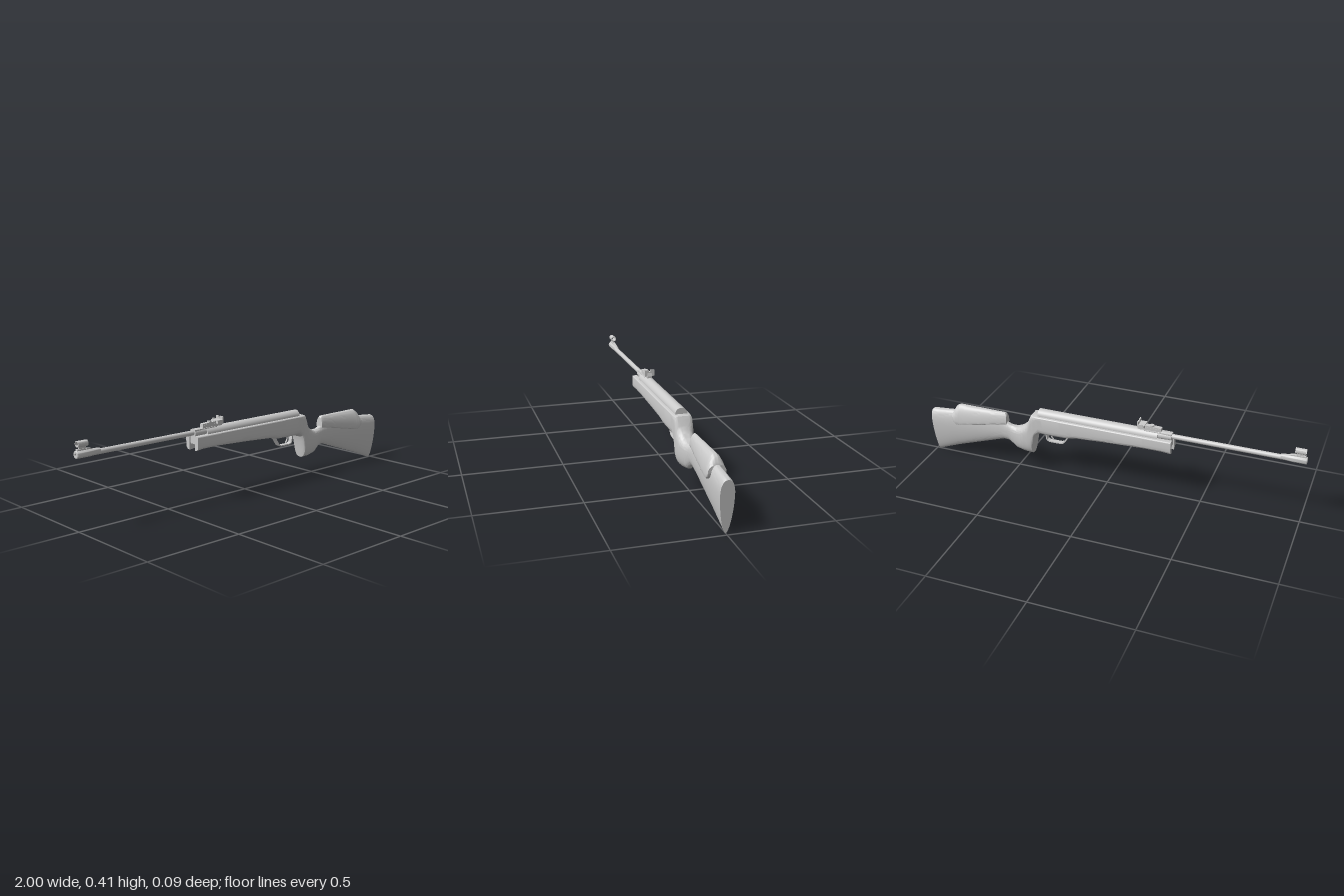
import * as THREE from 'three';
import { toCreasedNormals } from 'three/addons/utils/BufferGeometryUtils.js';

const mat = new THREE.MeshStandardMaterial({ color: 0xcccccc, side: THREE.DoubleSide });

function add(parent, name, geo, x = 0, y = 0, z = 0) {
  const m = new THREE.Mesh(geo, mat);
  m.name = name;
  m.position.set(x, y, z);
  parent.add(m);
  return m;
}
const box = (w, h, d) => new THREE.BoxGeometry(w, h, d);
const rod = (r0, r1, len, open = false) =>
  new THREE.CylinderGeometry(r1, r0, len, 32, 1, open).rotateZ(-Math.PI / 2);

// Linear lookup in a list of [x, value]
function at(table, x) {
  if (x <= table[0][0]) return table[0][1];
  for (let i = 1; i < table.length; i++) {
    const [x0, v0] = table[i - 1], [x1, v1] = table[i];
    if (x <= x1) return v0 + (v1 - v0) * (x - x0) / (x1 - x0);
  }
  return table[table.length - 1][1];
}

// Loft of superellipse sections along x; side = 1 or -1 keeps only one prong beyond z = gap
function loft(p, x0, x1, { side = 0, gap = 0, lean = () => 0 } = {}) {
  const xs = [x0, x1];
  for (const t of [p.top, p.bottom, p.width]) t.forEach(([x]) => x > x0 && x < x1 && xs.push(x));
  for (let x = x0 + 0.012; x < x1; x += 0.012) xs.push(x);
  const stations = xs.sort((a, b) => a - b).filter((x, i) => !i || x - xs[i - 1] > 1e-4);
  const N = 48, pos = [], idx = [];
  for (const x of stations) {
    const top = at(p.top, x), bot = at(p.bottom, x), mid = at(p.mid, x), w = at(p.width, x);
    let sy = 0, sz = 0;
    for (let j = 0; j < N; j++) {
      const a = j / N * Math.PI * 2, c = Math.cos(a), s = Math.sin(a);
      const e = 2 / at(s >= 0 ? p.squareTop : p.squareBottom, x);
      let z = w * Math.sign(c) * Math.abs(c) ** e;
      if (side) z = side * Math.max(z * side, gap);
      const y = mid + (s >= 0 ? top - mid : bot - mid) * Math.abs(s) ** e;
      pos.push(x + lean(x, y), y, z);
      sy += y / N; sz += z / N;
    }
    pos.push(x + lean(x, sy), sy, sz);
  }
  const R = N + 1, last = (stations.length - 1) * R;
  for (let j = 0; j < N; j++) {
    const k = (j + 1) % N;
    for (let o = 0; o < last; o += R) idx.push(o + j, o + R + j, o + k, o + k, o + R + j, o + R + k);
    idx.push(N, j, k, last + N, last + k, last + j);
  }
  const g = new THREE.BufferGeometry();
  g.setAttribute('position', new THREE.Float32BufferAttribute(pos, 3));
  g.setIndex(idx);
  return toCreasedNormals(g, 0.65);
}

// Side outline extruded symmetrically in z
function plate(points, depth) {
  const s = new THREE.Shape(points.map(([x, y]) => new THREE.Vector2(x, y)));
  return new THREE.ExtrudeGeometry(s, { depth, bevelEnabled: false }).translate(0, 0, -depth / 2);
}

const stock = {
  top: [[-0.345, 0.335], [0.405, 0.335], [0.413, 0.32], [0.425, 0.295], [0.445, 0.267], [0.47, 0.247],
    [0.5, 0.236], [0.53, 0.238], [0.56, 0.25], [0.6, 0.265], [0.86, 0.264], [0.99, 0.252], [1, 0.246]],
  bottom: [[-0.345, 0.262], [-0.3, 0.267], [-0.2, 0.267], [0, 0.257], [0.15, 0.247], [0.21, 0.235],
    [0.36, 0.232], [0.385, 0.218], [0.393, 0.19], [0.4, 0.14], [0.407, 0.1], [0.45, 0.101],
    [0.505, 0.111], [0.525, 0.128], [0.55, 0.145], [0.58, 0.146], [1, 0]],
  width: [[-0.345, 0.045], [0.43, 0.045], [0.465, 0.042], [0.5, 0.032], [0.54, 0.023], [0.58, 0.022],
    [0.75, 0.028], [0.9, 0.032], [1, 0.033]],
  mid: [[-0.345, 0.3], [0.2, 0.285], [0.36, 0.275], [0.42, 0.2], [0.55, 0.2], [1, 0.175]],
  squareTop: [[-0.345, 14], [0.37, 14], [0.43, 3], [0.5, 2.2], [1, 2.3]],
  squareBottom: [[-0.345, 4], [0.3, 4], [0.4, 2.6], [0.5, 2.4], [0.65, 1.9], [1, 1.7]],
};
const cheek = {
  top: [[0.558, 0.296], [0.566, 0.305], [0.83, 0.305], [0.85, 0.293], [0.866, 0.265]],
  bottom: [[0.558, 0.242], [0.68, 0.22], [0.82, 0.194], [0.845, 0.196], [0.86, 0.208], [0.866, 0.222]],
  width: [[0.558, 0.021], [0.7, 0.033], [0.85, 0.045], [0.866, 0.042]],
  mid: [[0.558, 0.25], [0.68, 0.228], [0.82, 0.203], [0.85, 0.208], [0.866, 0.232]],
  squareTop: [[0.558, 2], [0.866, 1.9]],
  squareBottom: [[0.558, 4], [0.866, 4]],
};

export function createModel() {
  const root = new THREE.Group();
  root.name = 'airRifle';

  // Stock: forked forend, then grip and butt with a leaning end
  const wood = new THREE.Group();
  wood.name = 'stock';
  root.add(wood);
  const lean = (x, y) => Math.max(0, (x - 0.85) / 0.15) * (y - 0.25) * 0.075;
  add(wood, 'stockBody', loft(stock, -0.2, 1, { lean }));
  for (const side of [1, -1])
    add(wood, 'forendProng', loft(stock, -0.345, -0.2, { side, gap: 0.02 }));
  add(wood, 'cheekPiece', loft(cheek, 0.558, 0.866));

  // Receiver tube and breech block
  add(root, 'receiverTube', rod(0.03, 0.03, 0.64), 0.05, 0.335);
  add(root, 'breechBlock', box(0.14, 0.07, 0.034), -0.27, 0.329);
  add(root, 'breechCollar', rod(0.02, 0.022, 0.07), -0.305, 0.346);

  // Barrel with sleeve and bored muzzle
  add(root, 'barrel', rod(0.0125, 0.0125, 0.64), -0.64, 0.348);
  const sleeve = [[0.006, 0.03], [0.006, 0], [0.016, 0], [0.018, 0.003], [0.018, 0.07], [0.0135, 0.12], [0.0125, 0.125]];
  const sleeveGeo = new THREE.LatheGeometry(sleeve.map(([r, h]) => new THREE.Vector2(r, h)), 32).rotateZ(-Math.PI / 2);
  add(root, 'muzzleSleeve', toCreasedNormals(sleeveGeo, 0.6), -1, 0.352);

  // Hooded front sight
  const front = new THREE.Group();
  front.name = 'frontSight';
  root.add(front);
  add(front, 'sightRamp', plate([[-0.993, 0.36], [-0.875, 0.355], [-0.93, 0.374], [-0.993, 0.376]], 0.014));
  add(front, 'sightStem', box(0.035, 0.018, 0.008), -0.965, 0.38);
  const ring = new THREE.Shape().absarc(0, 0, 0.0145, 0, Math.PI * 2);
  ring.holes.push(new THREE.Path().absarc(0, 0, 0.0115, 0, Math.PI * 2, true));
  const hood = new THREE.ExtrudeGeometry(ring, { depth: 0.052, bevelEnabled: false, curveSegments: 20 });
  add(front, 'sightHood', toCreasedNormals(hood.rotateY(Math.PI / 2), 0.6), -0.992, 0.398);
  add(front, 'sightPost', box(0.006, 0.014, 0.003), -0.966, 0.393);

  // Adjustable rear sight
  const rear = new THREE.Group();
  rear.name = 'rearSight';
  root.add(rear);
  add(rear, 'sightBase', box(0.12, 0.016, 0.024), -0.225, 0.37);
  add(rear, 'sightLeaf', plate([[-0.285, 0.376], [-0.16, 0.376], [-0.165, 0.393], [-0.2, 0.388], [-0.285, 0.384]], 0.022));
  add(rear, 'sightCarrier', box(0.035, 0.016, 0.05), -0.185, 0.384);
  const notch = [[-0.025, 0.376], [0.025, 0.376], [0.025, 0.408], [0.004, 0.408], [0.003, 0.398],
    [-0.003, 0.398], [-0.004, 0.408], [-0.025, 0.408]];
  add(rear, 'sightBlade', plate(notch, 0.006).rotateY(Math.PI / 2), -0.168);
  add(rear, 'elevationKnob', new THREE.CylinderGeometry(0.011, 0.011, 0.008, 24), -0.235, 0.388);
  add(rear, 'windageKnob', new THREE.CylinderGeometry(0.013, 0.013, 0.004, 24).rotateX(Math.PI / 2), -0.185, 0.384, -0.026);

  // Trigger guard strip and curved trigger
  const outer = [[0.2, 0.24], [0.216, 0.218], [0.234, 0.192], [0.25, 0.184], [0.318, 0.184], [0.333, 0.192], [0.34, 0.24]];
  const inner = [[0.334, 0.24], [0.328, 0.196], [0.316, 0.19], [0.252, 0.19], [0.239, 0.197], [0.222, 0.222], [0.212, 0.24]];
  add(root, 'triggerGuard', plate([...outer, ...inner], 0.024));
  const bend = new THREE.CatmullRomCurve3(
    [[0.3, 0.24], [0.307, 0.222], [0.305, 0.208], [0.296, 0.196]].map(([x, y]) => new THREE.Vector3(x, y, 0)));
  add(root, 'trigger', new THREE.TubeGeometry(bend, 16, 0.004, 10));

  return root;
}
